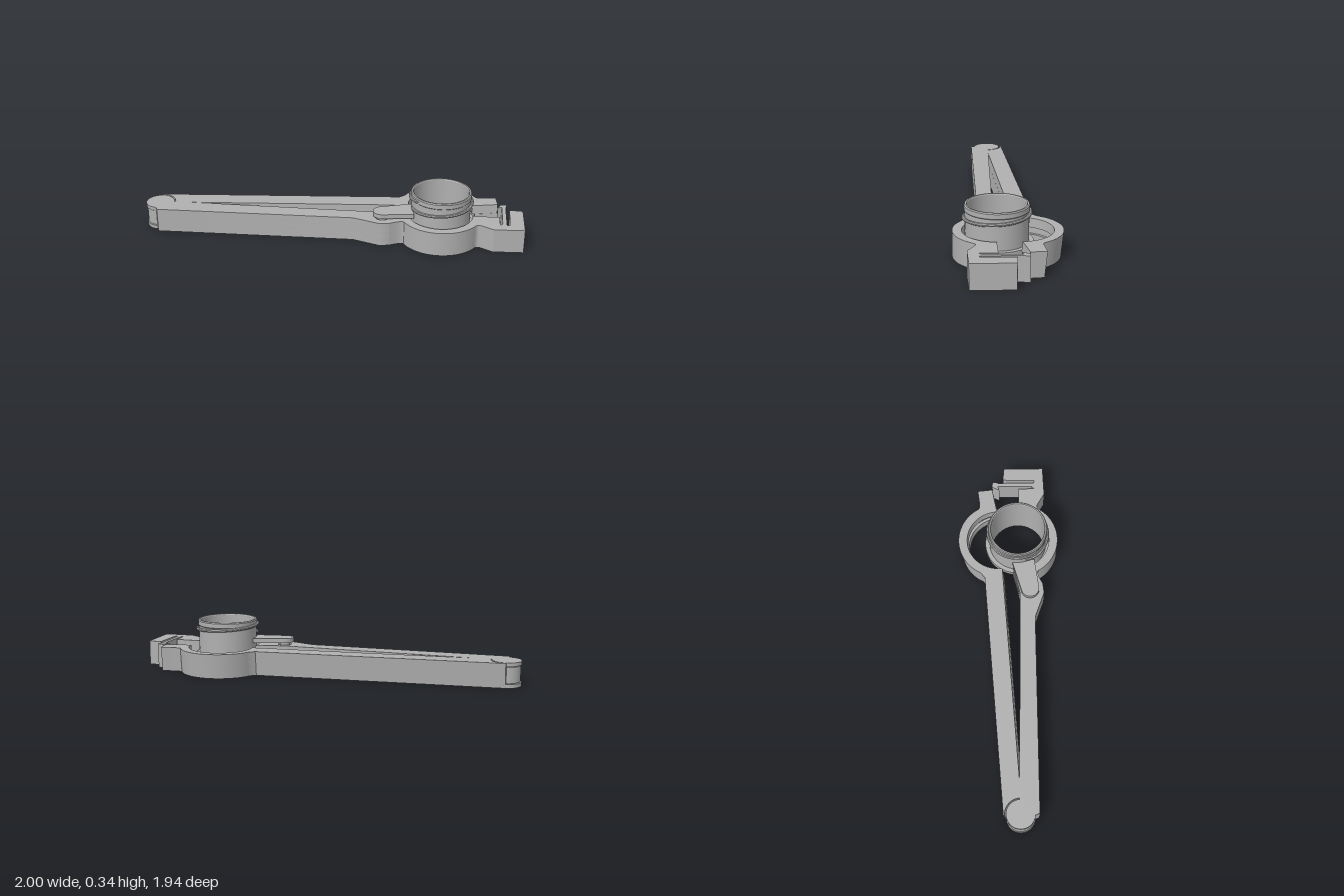
import * as THREE from 'three';
import { toCreasedNormals } from 'three/addons/utils/BufferGeometryUtils.js';

const H = 0.167;
const rad = (d) => (d * Math.PI) / 180;

export function createModel() {
  const model = new THREE.Group();
  const grey = new THREE.MeshStandardMaterial({ color: 0xb0b0b0 });
  grey.name = 'plain grey';

  const add = (name, geometry, parent = model) => {
    const mesh = new THREE.Mesh(toCreasedNormals(geometry, rad(32)), grey);
    mesh.name = name;
    parent.add(mesh);
    return mesh;
  };
  // Plan shapes use (x, -z); the slab stands between y0 and y1
  const slab = (shape, y0, y1) => {
    const g = new THREE.ExtrudeGeometry(shape, { depth: y1 - y0, bevelEnabled: false, curveSegments: 40 });
    return g.rotateX(-Math.PI / 2).translate(0, y0, 0);
  };
  const lines = (shape, pts) => pts.forEach(([x, y]) => shape.lineTo(x, y));
  const disc = (name, x, z, r, y0, y1, parent) =>
    add(name, new THREE.CylinderGeometry(r, r, y1 - y0, 48).translate(x, (y0 + y1) / 2, z), parent);

  // Swinging arm with its half-ring jaw
  const swingShape = (r) => {
    const s = new THREE.Shape();
    s.moveTo(-0.99, -0.79);
    s.lineTo(0.1, 0.465);
    s.absarc(0.37, 0.6, 0.28, rad(198), rad(74), true);
    lines(s, [[0.47, 0.885], [0.54, 0.975], [0.62, 0.91]]);
    s.absarc(0.37, 0.6, r, rad(47), rad(232), false);
    s.lineTo(-0.81, -0.77);
    s.absarc(-0.906, -0.866, 0.105, rad(42), rad(140), false);
    return s;
  };

  // Fixed arm with its half-ring jaw, catch block and spring latch
  const fixedShape = (r) => {
    const s = new THREE.Shape();
    s.moveTo(-0.86, -0.81);
    lines(s, [[-0.9, -0.87], [-0.84, -0.94], [-0.815, -0.95], [0.136, 0.01], [0.307, 0.09], [0.35, 0.145]]);
    s.quadraticCurveTo(0.375, 0.235, 0.4, 0.235);
    s.absarc(0.47, 0.505, 0.28, rad(256), rad(372), false);
    s.quadraticCurveTo(0.74, 0.59, 0.77, 0.598);
    lines(s, [
      [0.858, 0.62], [0.997, 0.77], [0.8, 0.968], [0.73, 0.91], // catch block
      [0.885, 0.745], [0.868, 0.735],
      [0.69, 0.915], [0.68, 0.935], [0.665, 0.952], [0.636, 0.925], [0.655, 0.872], [0.668, 0.9], // latch strip
      [0.838, 0.725], [0.84, 0.7], [0.757, 0.78], [0.63, 0.65],
    ]);
    s.absarc(0.47, 0.505, r, rad(42), rad(-144), true);
    s.lineTo(0.19, 0.21);
    const hole = new THREE.Path();
    hole.absarc(0.25, 0.17, 0.047, 0, Math.PI * 2, true);
    s.holes.push(hole);
    return s;
  };

  const swingArm = new THREE.Group();
  swingArm.name = 'swingingArm';
  const fixedArm = new THREE.Group();
  fixedArm.name = 'fixedArm';
  model.add(swingArm, fixedArm);

  // Three layers each; the middle one leaves a groove inside the jaw
  const layers = [[0, 0.06, 0.22], [0.06, 0.105, 0.24], [0.105, H, 0.22]];
  for (const [y0, y1, r] of layers) {
    const g = slab(swingShape(r), y0, y1);
    // Slight lean of the arm towards the fixed jaw at the bottom
    const p = g.attributes.position;
    for (let i = 0; i < p.count; i++) {
      const k = 0.07 * (H - p.getY(i));
      p.setX(i, p.getX(i) + k);
      p.setZ(i, p.getZ(i) + k);
    }
    add('swingingArmLayer', g, swingArm);
    add('fixedArmLayer', slab(fixedShape(r), y0, y1), fixedArm);
  }

  // Hinge: two cheeks on the fixed arm around the knuckle of the swinging arm
  disc('hingeLowerCheek', -0.906, 0.866, 0.096, 0, 0.025, fixedArm);
  disc('hingeUpperCheek', -0.906, 0.866, 0.096, 0.142, H, fixedArm);
  disc('hingeKnuckle', -0.906, 0.866, 0.09, 0.03, 0.137, swingArm);
  disc('hingePin', -0.906, 0.866, 0.05, 0.01, 0.155, swingArm);
  const neck = new THREE.BoxGeometry(0.1, 0.107, 0.12).rotateY(rad(-41));
  add('hingeNeck', neck.translate(-0.875, 0.0835, 0.8), swingArm);

  // Threaded bottle neck held in the jaws
  const collar = new THREE.Group();
  collar.name = 'threadedCollar';
  collar.position.set(0.47, 0, 0.0 - 0.505);
  model.add(collar);
  const profile = [
    [0.185, 0], [0.2, 0], [0.2, 0.065], [0.23, 0.065], [0.23, 0.1], [0.2, 0.1],
    [0.2, 0.3], [0.205, 0.305], [0.205, 0.335], [0.199, 0.342], [0.189, 0.342], [0.185, 0.336], [0.185, 0],
  ].map(([x, y]) => new THREE.Vector2(x, y));
  add('collarWall', new THREE.LatheGeometry(profile, 72), collar);

  // Screw thread
  const helix = [];
  for (let i = 0; i <= 60; i++) {
    const t = i / 60;
    const a = rad(240 + 390 * t);
    const r = 0.208 - 0.012 * Math.max(0, 1 - Math.min(t, 1 - t) * 15);
    helix.push(new THREE.Vector3(r * Math.cos(a), 0.237 + 0.078 * t, -r * Math.sin(a)));
  }
  add('screwThread', new THREE.TubeGeometry(new THREE.CatmullRomCurve3(helix), 120, 0.011, 8), collar);

  // Locating tab and its peg
  const tab = new THREE.Shape();
  tab.absarc(0.25, 0.17, 0.062, rad(147), rad(327), false);
  lines(tab, [[0.425, 0.3], [0.365, 0.345], [0.3, 0.39]]);
  add('locatingTab', slab(tab, 0.184, 0.215));
  disc('locatingPeg', 0.25, -0.17, 0.036, 0.02, 0.19);

  return model;
}
